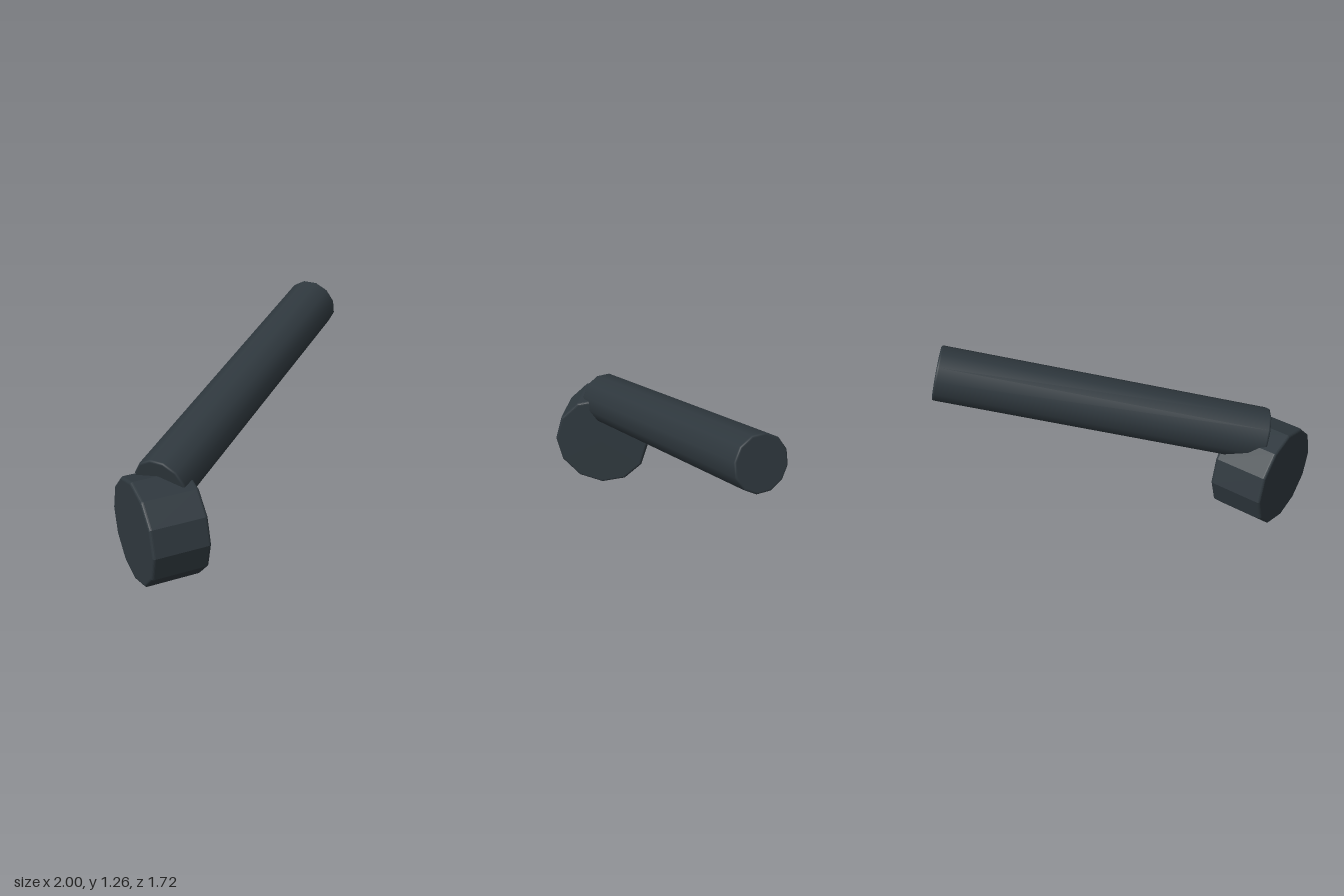
import * as THREE from 'three';

// Twelve-sided rod along y with softly bevelled rims
function bevelledRod(radius, length, bevel, phiStart = 0) {
  const h = length / 2, e = 0.002, half = [];
  half.push([0, h], [radius - bevel - e, h], [radius - bevel, h]);
  for (const t of [0.25, 0.5, 0.75, 1]) {
    const a = t * Math.PI / 2;
    half.push([radius - bevel + bevel * Math.sin(a), h - bevel + bevel * Math.cos(a)]);
  }
  half.push([radius, h - bevel - e]);
  const points = [
    ...half.map(([r, y]) => new THREE.Vector2(r, -y)),
    ...half.slice().reverse().map(([r, y]) => new THREE.Vector2(r, y)),
  ];
  return new THREE.LatheGeometry(points, 12, phiStart);
}

export function createModel() {
  const group = new THREE.Group();
  const color = 0x2f383e;
  const slate = new THREE.MeshStandardMaterial({ color });
  slate.name = 'dark slate';
  const slateFaceted = new THREE.MeshStandardMaterial({ color, flatShading: true });
  slateFaceted.name = 'dark slate faceted';

  // Short faceted drum lying along x
  const drum = new THREE.Mesh(bevelledRod(0.34, 0.37, 0.018), slateFaceted);
  drum.name = 'drum';
  drum.rotation.z = -Math.PI / 2;
  drum.position.set(-0.815, 0.34, 0.52);
  group.add(drum);

  // Long bar rising from the drum to the back, one flat side facing up
  const start = new THREE.Vector3(-0.81, 0.614, 0.515);
  const end = new THREE.Vector3(0.893, 1.097, -0.72);
  const along = end.clone().sub(start);
  const bar = new THREE.Mesh(bevelledRod(0.18, along.length(), 0.012, Math.PI / 12), slate);
  bar.name = 'bar';
  along.normalize();
  const side = new THREE.Vector3().crossVectors(along, new THREE.Vector3(0, 1, 0)).normalize();
  const up = new THREE.Vector3().crossVectors(side, along);
  bar.quaternion.setFromRotationMatrix(new THREE.Matrix4().makeBasis(side, along, up));
  bar.position.copy(start).add(end).multiplyScalar(0.5);
  group.add(bar);

  return group;
}
